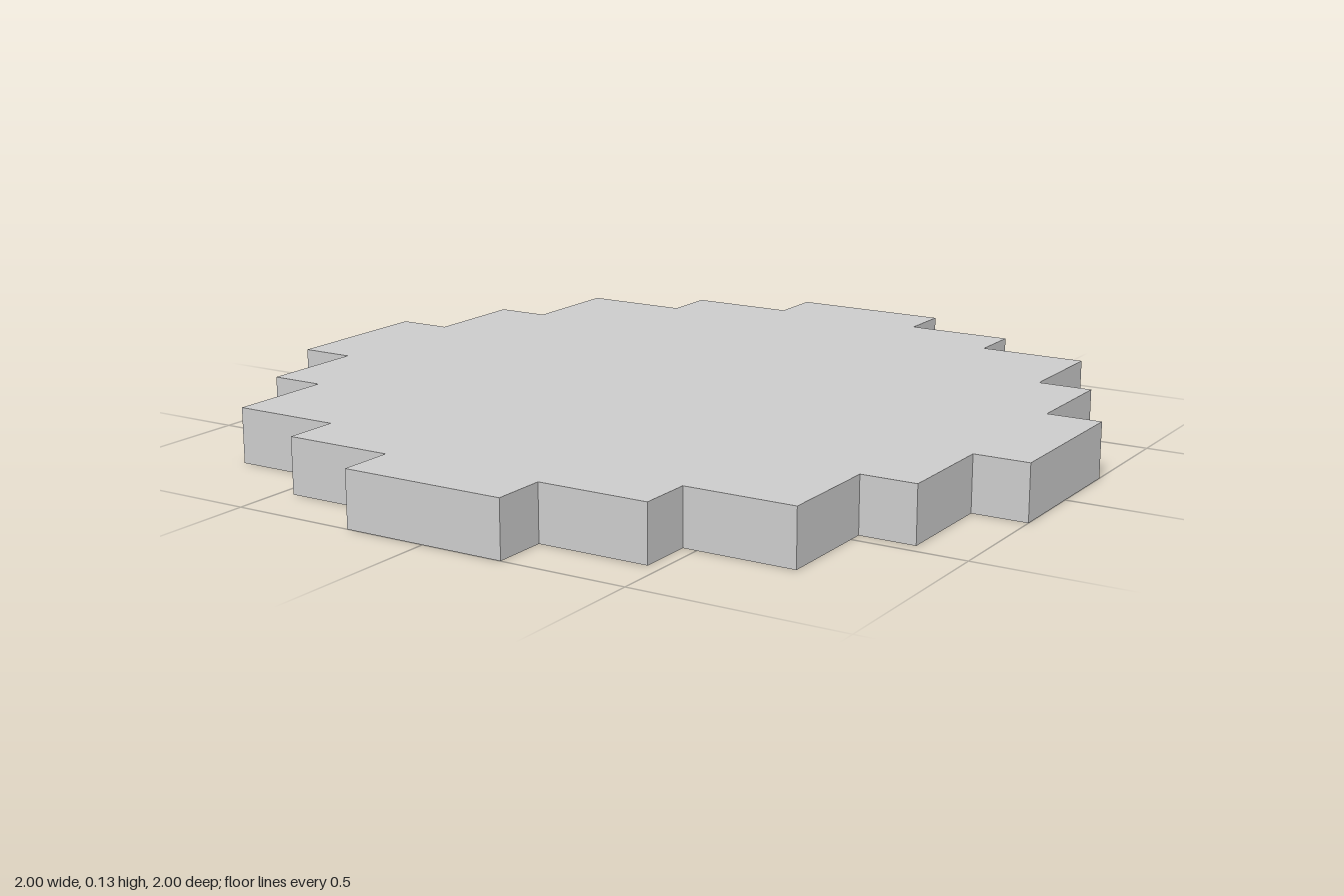
import * as THREE from 'three';

const CELL = 2 / 15; // the disc is 15 square cells across and one cell thick

export function createModel() {
  const group = new THREE.Group();
  group.name = 'steppedDisc';

  // Staircase outline of one quarter, in cells, repeated by quarter turns
  const quarter = [
    [7.5, 1.5], [6.5, 1.5], [6.5, 3.5], [5.5, 3.5], [5.5, 5.5],
    [3.5, 5.5], [3.5, 6.5], [1.5, 6.5], [1.5, 7.5],
  ];
  const outline = [];
  for (let turn = 0; turn < 4; turn++) {
    for (const [x, y] of quarter) {
      const [px, py] = [[x, y], [-y, x], [-x, -y], [y, -x]][turn];
      outline.push(new THREE.Vector2(px * CELL, py * CELL));
    }
  }

  // Flat slab lying on the ground
  const geometry = new THREE.ExtrudeGeometry(new THREE.Shape(outline), {
    depth: CELL,
    bevelEnabled: false,
  });
  geometry.rotateX(-Math.PI / 2);

  const slab = new THREE.Mesh(
    geometry,
    new THREE.MeshStandardMaterial({ color: 0xcccccc, flatShading: true })
  );
  slab.name = 'slab';
  group.add(slab);
  return group;
}
